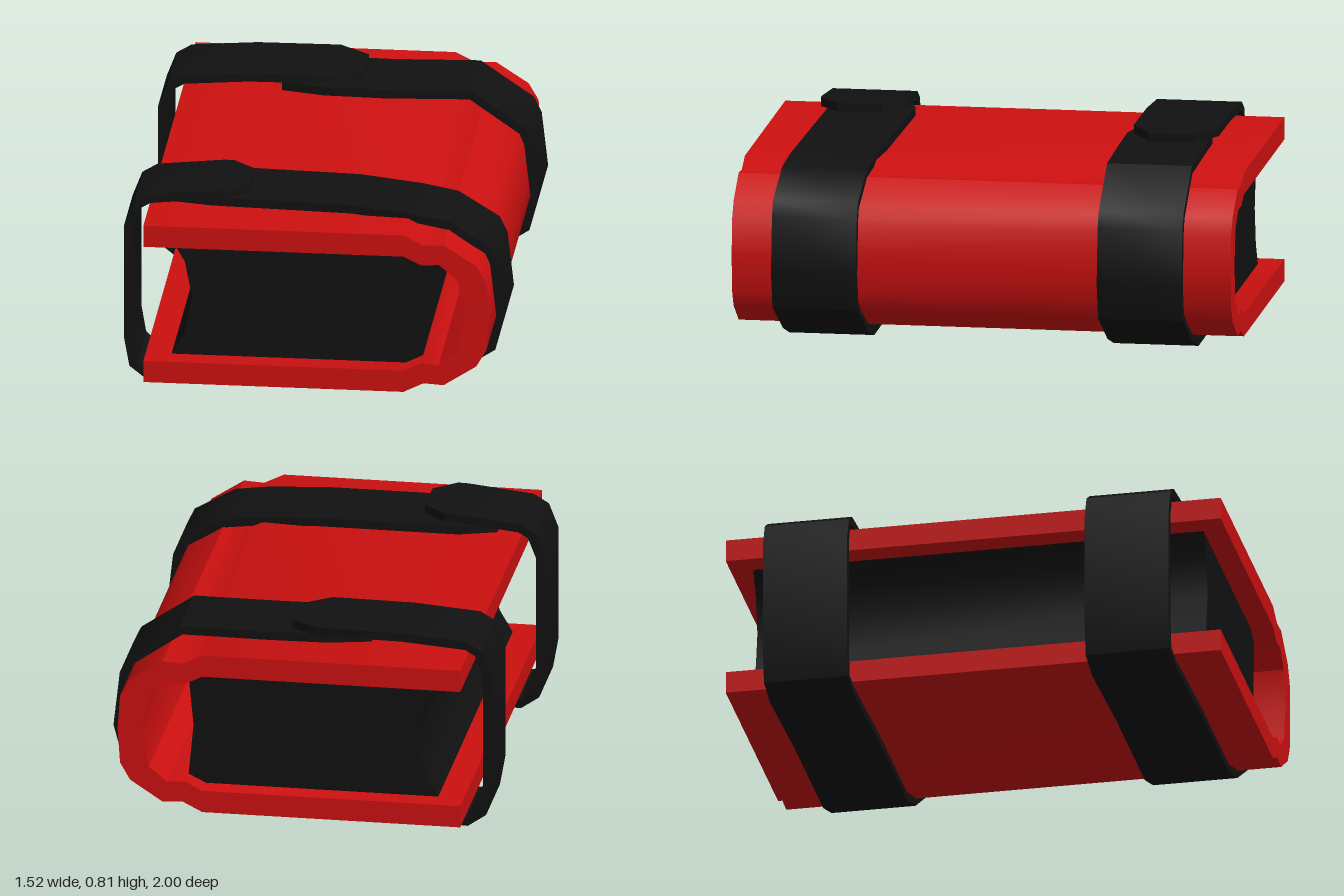
import * as THREE from 'three';
import { toCreasedNormals } from 'three/addons/utils/BufferGeometryUtils.js';

const red = new THREE.MeshStandardMaterial({ color: 0xcc1010 });
const black = new THREE.MeshStandardMaterial({ color: 0x111111 });
const MID = 0.3975; // height of the horizontal mirror plane

// Extrude an outline along z, centred on z = 0
function extrude(points, depth) {
  const shape = new THREE.Shape(points.map(([x, y]) => new THREE.Vector2(x, y)));
  const geo = new THREE.ExtrudeGeometry(shape, { depth, bevelEnabled: false });
  geo.translate(0, 0, -depth / 2);
  return toCreasedNormals(geo, 0.6);
}

// Append the mirrored lower half to an upper-half outline
function mirrorY(points) {
  const lower = points.filter(p => Math.abs(p[1] - MID) > 0.001)
    .map(([x, y]) => [x, 2 * MID - y]).reverse();
  return [...points, ...lower];
}

// Flat band with thickness following [x, y, z, halfWidth] points
function ribbon(path, thickness) {
  const pos = [], index = [];
  const last = path.length - 1;
  path.forEach(([x, y, z, w], i) => {
    const a = path[Math.max(i - 1, 0)], b = path[Math.min(i + 1, last)];
    const d = new THREE.Vector2(b[0] - a[0], b[1] - a[1]).normalize();
    const nx = -d.y * thickness / 2, ny = d.x * thickness / 2;
    pos.push(x + nx, y + ny, z + w, x + nx, y + ny, z - w,
      x - nx, y - ny, z - w, x - nx, y - ny, z + w);
    if (i === last) return;
    for (let j = 0; j < 4; j++) {
      const k = (j + 1) % 4, p = i * 4, q = p + 4;
      index.push(p + j, q + j, q + k, p + j, q + k, p + k);
    }
  });
  const e = last * 4;
  index.push(0, 1, 2, 0, 2, 3, e, e + 2, e + 1, e, e + 3, e + 2);
  const geo = new THREE.BufferGeometry();
  geo.setAttribute('position', new THREE.Float32BufferAttribute(pos, 3));
  geo.setIndex(index);
  return toCreasedNormals(geo, 0.6);
}

export function createModel() {
  const group = new THREE.Group();
  const add = (name, geo, mat) => {
    const mesh = new THREE.Mesh(geo, mat);
    mesh.name = name;
    group.add(mesh);
  };

  // U-shaped outer shell, open towards -x
  const outer = mirrorY([[-0.665, 0.73], [0.37, 0.73], [0.45, 0.69], [0.53, 0.695],
    [0.66, 0.61], [0.7, 0.54], [0.71, MID]]);
  const inner = mirrorY([[-0.665, 0.64], [0.37, 0.64], [0.44, 0.605], [0.51, 0.61],
    [0.585, 0.55], [0.615, MID]]);
  add('shell', extrude([...outer, ...inner.reverse()], 2), red);

  // Core block with hollowed sides
  const core = mirrorY([[-0.48, MID], [-0.51, 0.55], [-0.565, 0.645], [0.37, 0.645],
    [0.44, 0.61], [0.42, MID]]);
  add('core', extrude(core, 1.82), black);

  // Straps: under layer on top, round the curve, below, up the open side, tab over the top
  const W = 0.17;
  const wrap = (z) => [[0.69, 0.615, z[1], W], [0.715, 0.56, z[1], W], [0.74, 0.34, z[1], W],
    [0.705, 0.205, z[1], W], [0.535, 0.09, z[2], W], [0.38, 0.04, z[2], W],
    [-0.17, 0.042, z[2], W], [-0.665, 0.02, z[2], W], [-0.725, 0.065, z[3], W],
    [-0.745, 0.18, z[3], W], [-0.745, 0.65, z[3], W], [-0.71, 0.74, z[3], W],
    [-0.66, 0.77, z[3], W]];

  const fz = [0.61, 0.665, 0.65, 0.64];
  add('frontStrap', ribbon([
    [-0.57, 0.758, fz[0] + 0.01, 0.13], [-0.42, 0.758, fz[0], W], [0.14, 0.752, 0.625, W],
    [0.39, 0.732, 0.645, W], [0.53, 0.71, 0.655, W], ...wrap(fz),
    [-0.4, 0.797, fz[3], W], [-0.36, 0.798, fz[3], W], [-0.27, 0.798, fz[3], 0.09],
  ], 0.035), black);

  const bz = [-0.63, -0.64, -0.65, -0.66];
  add('backStrap', ribbon([
    [-0.27, 0.755, bz[0], 0.13], [-0.1, 0.755, bz[0], W], [0.14, 0.752, bz[0], W],
    [0.485, 0.757, bz[1], W], ...wrap(bz),
    [-0.4, 0.79, bz[3], W], [-0.07, 0.793, bz[3], W], [0.05, 0.788, bz[3], 0.09],
  ], 0.035), black);

  return group;
}
